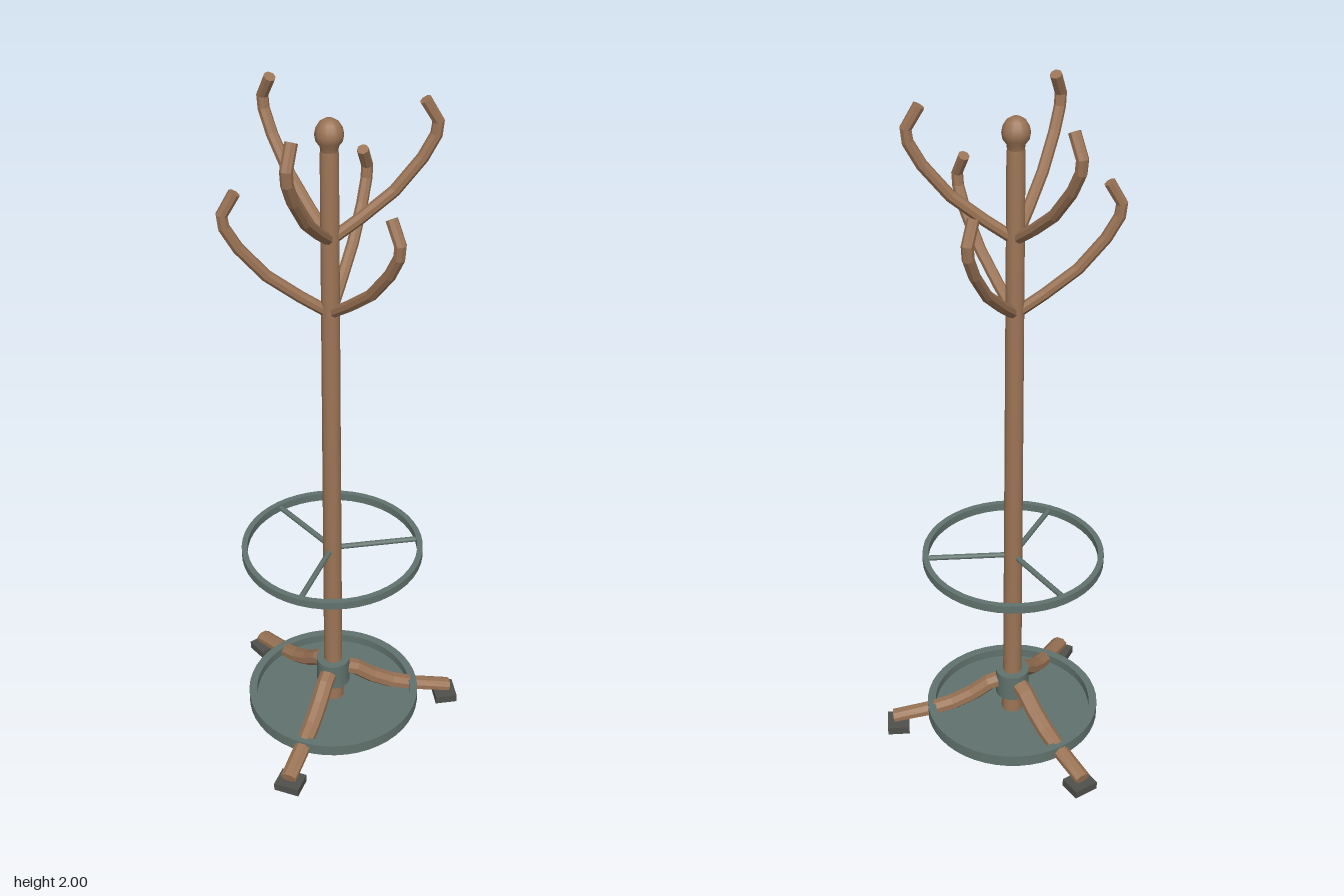
import * as THREE from 'three';
import { toCreasedNormals } from 'three/addons/utils/BufferGeometryUtils.js';

const TAU = Math.PI * 2;

// Sweeps a faceted oval section along a path in the XY plane.
// Each path point is [radial, height, halfWidth, halfThickness].
function sweep(path, sides = 8) {
  const pos = [];
  const pts = path.map(p => new THREE.Vector2(p[0], p[1]));
  const last = path.length - 1;
  const rings = path.map(([x, y, w, h], i) => {
    const before = pts[i].clone().sub(pts[Math.max(i - 1, 0)]).normalize();
    const after = pts[Math.min(i + 1, last)].clone().sub(pts[i]).normalize();
    const t = before.add(after).normalize();
    return Array.from({ length: sides }, (_, j) => {
      const a = (j + 0.5) / sides * TAU;
      return [x - t.y * Math.cos(a) * h, y + t.x * Math.cos(a) * h, Math.sin(a) * w];
    });
  });
  const tri = (...corners) => corners.forEach(c => pos.push(...c));
  for (let j = 0; j < sides; j++) {
    const k = (j + 1) % sides;
    for (let i = 0; i < last; i++) {
      tri(rings[i][j], rings[i][k], rings[i + 1][k]);
      tri(rings[i][j], rings[i + 1][k], rings[i + 1][j]);
    }
    tri([path[0][0], path[0][1], 0], rings[0][k], rings[0][j]);
    tri([path[last][0], path[last][1], 0], rings[last][j], rings[last][k]);
  }
  const geo = new THREE.BufferGeometry();
  geo.setAttribute('position', new THREE.Float32BufferAttribute(pos, 3));
  geo.computeVertexNormals();
  return geo;
}

function lathe(profile, segments = 48, crease = 0.5) {
  const points = profile.map(p => new THREE.Vector2(...p));
  return toCreasedNormals(new THREE.LatheGeometry(points, segments), crease);
}

export function createModel() {
  const wood = new THREE.MeshStandardMaterial({ color: 0x9a7355 });
  wood.name = 'wood';
  const metal = new THREE.MeshStandardMaterial({ color: 0x61726d });
  metal.name = 'greenMetal';
  const rubber = new THREE.MeshStandardMaterial({ color: 0x4f4f4b });
  rubber.name = 'darkRubber';

  const model = new THREE.Group();
  model.name = 'coatStand';
  const stand = new THREE.Group();
  stand.name = 'stand';
  stand.position.x = -0.05;
  model.add(stand);

  const add = (name, geo, mat, parent = stand) => {
    const mesh = new THREE.Mesh(geo, mat);
    mesh.name = name;
    parent.add(mesh);
    return mesh;
  };
  const spoke = (name, angle) => {
    const group = new THREE.Group();
    group.name = name;
    group.rotation.y = angle;
    stand.add(group);
    return group;
  };

  // Tapered pole with a ball finial
  add('pole', lathe([[0, 0.03], [0.032, 0.03], [0.032, 0.08], [0.028, 0.14],
    [0.027, 0.6], [0.024, 1.865], [0.022, 1.88], [0, 1.88]], 24), wood);
  add('finial', lathe([[0, 1.87], [0.022, 1.87], [0.024, 1.888], [0.034, 1.902], [0.037, 1.918],
    [0.034, 1.934], [0.025, 1.949], [0.013, 1.957], [0, 1.958]], 24, 0.7), wood);

  // Drip tray with a raised rim
  add('dripTray', lathe([[0, 0.053], [0.26, 0.053], [0.26, 0.09], [0.236, 0.09],
    [0.236, 0.063], [0, 0.063]]), metal);

  // Collar that holds the legs
  add('collar', lathe([[0, 0.125], [0.05, 0.125], [0.05, 0.21], [0, 0.21]], 32), metal);

  // Umbrella hoop
  add('hoop', lathe([[0.246, 0.624], [0.2625, 0.624], [0.2625, 0.648],
    [0.246, 0.648], [0.246, 0.624]]), metal);

  const legGeo = sweep([[0.03, 0.175, 0.026, 0.024], [0.07, 0.16, 0.026, 0.024],
    [0.12, 0.122, 0.026, 0.024], [0.18, 0.09, 0.026, 0.023],
    [0.25, 0.067, 0.025, 0.021], [0.365, 0.043, 0.025, 0.017]]);
  const hookGeo = sweep([[0, 0], [0.08, 0.057], [0.165, 0.125], [0.235, 0.21],
    [0.268, 0.27], [0.272, 0.305], [0.238, 0.363]].map(p => [...p, 0.016, 0.016]));
  const footGeo = new THREE.BoxGeometry(0.066, 0.025, 0.076);
  const barGeo = new THREE.CylinderGeometry(0.008, 0.008, 0.235, 10).rotateZ(Math.PI / 2);

  for (let i = 0; i < 3; i++) {
    const angle = i * TAU / 3;

    // Leg, foot and hoop bar share one direction
    const base = spoke('legAssembly', angle);
    add('leg', legGeo, wood, base);
    add('foot', footGeo, rubber, base).position.set(0.352, 0.0125, 0);
    add('hoopBar', barGeo, metal, base).position.set(0.135, 0.636, 0);

    // Two tiers of hooks, staggered by half a step
    add('upperHook', hookGeo, wood, spoke('upperHookArm', angle)).position.y = 1.63;
    add('lowerHook', hookGeo, wood, spoke('lowerHookArm', angle + Math.PI)).position.y = 1.417;
  }
  return model;
}
